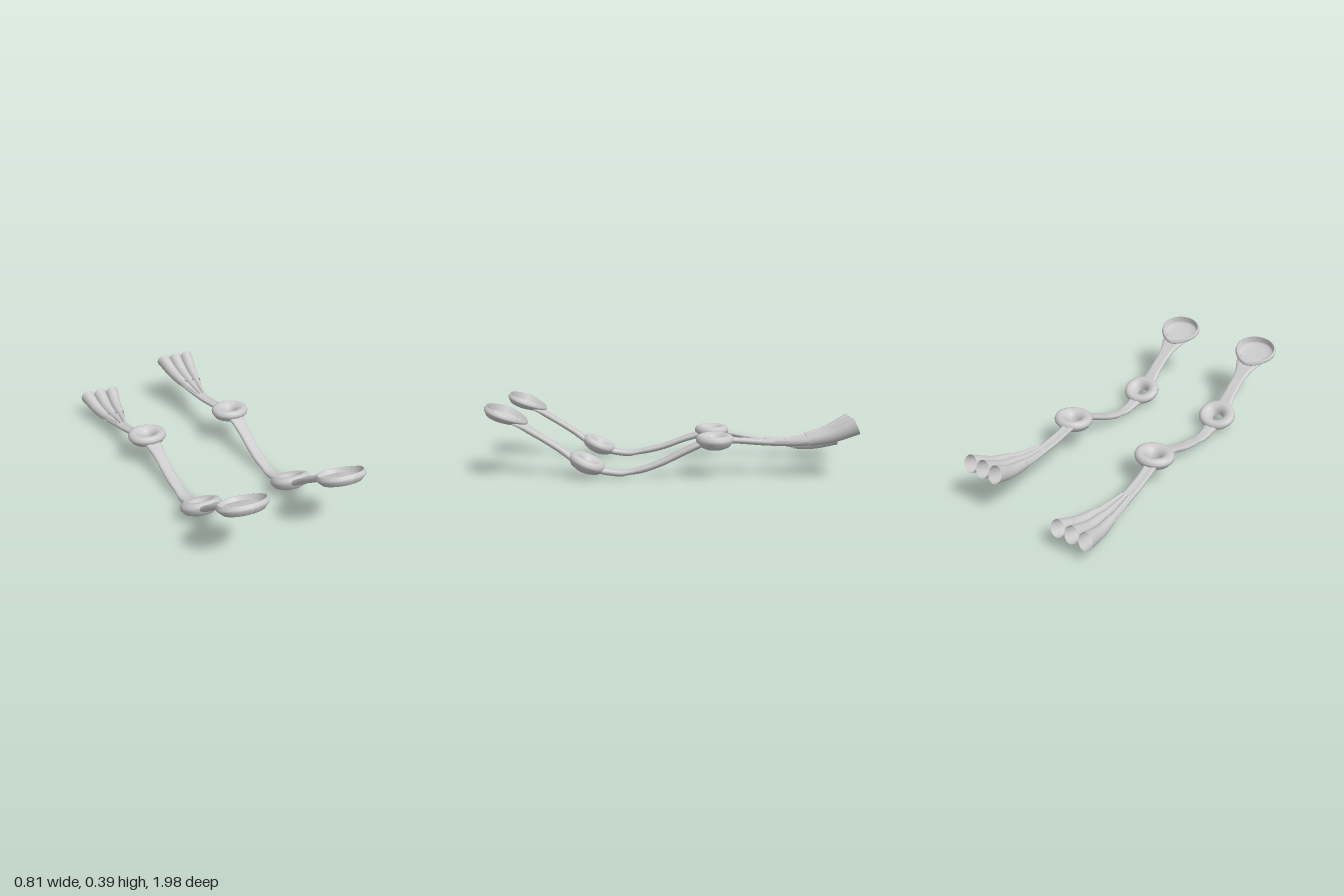
import * as THREE from 'three';

const material = new THREE.MeshStandardMaterial({ color: 0xcccccc });
const openMaterial = new THREE.MeshStandardMaterial({ color: 0xcccccc, side: THREE.DoubleSide });

// Sweeps an oval along stations [x, y, z, halfWidth, halfHeight]; groove hollows the upper side.
function sweep(name, stations, { groove = 0, sides = 14, steps = 24, mat = material } = {}) {
  const path = new THREE.CatmullRomCurve3(stations.map(s => new THREE.Vector3(s[0], s[1], s[2])));
  const size = new THREE.CatmullRomCurve3(stations.map(s => new THREE.Vector3(s[3], s[4], 0)));
  const across = new THREE.Vector3(1, 0, 0);
  const positions = [], index = [];
  for (let i = 0; i <= steps; i++) {
    const c = path.getPoint(i / steps), r = size.getPoint(i / steps);
    const normal = path.getTangent(i / steps).cross(across).normalize();
    const up = Math.sign(normal.y) || 1;
    for (let j = 0; j < sides; j++) {
      const a = (j / sides) * Math.PI * 2;
      const h = Math.sin(a);
      const dip = groove * r.y * Math.max(0, h * up) ** 4 * up;
      const p = c.clone().addScaledVector(across, r.x * Math.cos(a)).addScaledVector(normal, r.y * h - dip);
      positions.push(p.x, p.y, p.z);
      if (i < steps) {
        const k = (j + 1) % sides, m = i * sides;
        index.push(m + j, m + k, m + sides + j, m + k, m + sides + k, m + sides + j);
      }
    }
  }
  const geometry = new THREE.BufferGeometry();
  geometry.setAttribute('position', new THREE.Float32BufferAttribute(positions, 3));
  geometry.setIndex(index);
  geometry.computeVertexNormals();
  const mesh = new THREE.Mesh(geometry, mat);
  mesh.name = name;
  return mesh;
}

function lathe(name, profile, segments = 32) {
  const mesh = new THREE.Mesh(
    new THREE.LatheGeometry(profile.map(p => new THREE.Vector2(...p)), segments), material);
  mesh.name = name;
  return mesh;
}

// Round joint with a funnel-shaped hollow in its top
function socket(name, x, y, z, tilt) {
  const mesh = lathe(name, [
    [0, -0.042], [0.055, -0.04], [0.09, -0.026], [0.11, 0], [0.112, 0.014], [0.104, 0.03],
    [0.086, 0.037], [0.062, 0.03], [0.044, 0.014], [0.034, -0.004], [0.03, -0.02]]);
  mesh.position.set(x, y, z);
  mesh.rotation.x = tilt;
  mesh.scale.z = 0.9;
  return mesh;
}

// Shallow teardrop dish that narrows toward the neck
function dish() {
  const mesh = lathe('spoonDish', [
    [0, -0.026], [0.07, -0.026], [0.105, -0.018], [0.128, 0.006], [0.13, 0.016], [0.122, 0.032],
    [0.117, 0.031], [0.11, 0.004], [0.1, -0.008], [0.06, -0.011], [0, -0.012]], 40);
  const p = mesh.geometry.attributes.position;
  for (let i = 0; i < p.count; i++) {
    const z = p.getZ(i), back = Math.max(0, -z / 0.13);
    p.setX(i, p.getX(i) * (1 - 0.25 * back * back));
    p.setY(i, p.getY(i) * (1 - 0.35 * back));
    p.setZ(i, z * (z < 0 ? 1.05 : 0.82));
  }
  mesh.geometry.computeVertexNormals();
  mesh.position.set(0, 0.336, 0.885);
  mesh.rotation.x = -0.35;
  return mesh;
}

// One limb; the joint height and hand curve differ between the two sides
function limb(name, { x, wristY, palmY, fingerY }) {
  const g = new THREE.Group();
  g.name = name;
  g.position.x = x;

  g.add(dish());
  g.add(sweep('neck', [
    [0, 0.312, 0.84, 0.09, 0.012], [0.004, 0.292, 0.79, 0.076, 0.018], [0.008, 0.255, 0.73, 0.048, 0.022],
    [0.01, 0.212, 0.66, 0.039, 0.021], [0.01, 0.165, 0.585, 0.039, 0.022], [0.011, 0.115, 0.515, 0.05, 0.022]],
    { groove: 0.5 }));
  g.add(socket('frontSocket', 0.012, 0.08, 0.442, -0.42));

  const rise = wristY - 0.205;
  g.add(sweep('middleRod', [
    [0.01, 0.048, 0.375, 0.045, 0.022], [0.007, 0.036, 0.31, 0.034, 0.022], [0.007, 0.031, 0.25, 0.034, 0.021],
    [0.009, 0.05, 0.15, 0.034, 0.021], [0.012, 0.09 + rise * 0.3, 0.04, 0.035, 0.021],
    [0.015, 0.14 + rise * 0.6, -0.06, 0.037, 0.021], [0.016, 0.185 + rise, -0.15, 0.045, 0.022],
    [0.014, 0.195 + rise, -0.175, 0.05, 0.02]], { groove: 0.4 }));
  g.add(socket('rearSocket', 0.012, wristY, -0.245, 0));

  // Palm bar widening toward the three sleeves
  const palm = [[-0.01, -0.31, 0.04, 0.02], [-0.022, -0.38, 0.033, 0.02], [-0.028, -0.54, 0.034, 0.021],
    [-0.018, -0.66, 0.054, 0.021], [-0.01, -0.74, 0.072, 0.023], [-0.01, -0.76, 0.07, 0.006]];
  g.add(sweep('palm', palm.map(([px, z, w, h], i) => [px, palmY[i], z, w, h]), { groove: 0.7 }));

  for (const s of [-1, 0, 1]) {
    // Ridge running from the palm into the sleeve
    g.add(sweep('ridge', [
      [-0.024 + s * 0.02, palmY[2] + 0.004, -0.56, 0.01, 0.012],
      [-0.016 + s * 0.036, palmY[3] + 0.003, -0.66, 0.015, 0.019],
      [-0.01 + s * 0.05, fingerY[0], -0.75, 0.022, 0.024]], { sides: 10, steps: 8 }));
    // Hollow flared sleeve, open at the tip
    g.add(sweep('sleeve', [
      [-0.01 + s * 0.048, fingerY[0], -0.735, 0.025, 0.028],
      [-0.01 + s * 0.064, fingerY[1], -0.85, 0.033, 0.036],
      [-0.009 + s * 0.083, fingerY[2], -0.978, 0.042, 0.047]], { sides: 18, steps: 10, mat: openMaterial }));
  }
  return g;
}

export function createModel() {
  const model = new THREE.Group();
  model.name = 'limbPair';
  model.add(limb('leftLimb', {
    x: 0.275, wristY: 0.205,
    palmY: [0.212, 0.207, 0.197, 0.2, 0.212, 0.216], fingerY: [0.213, 0.242, 0.3],
  }));
  model.add(limb('rightLimb', {
    x: -0.275, wristY: 0.167,
    palmY: [0.163, 0.148, 0.116, 0.1, 0.093, 0.093], fingerY: [0.094, 0.105, 0.145],
  }));
  return model;
}
